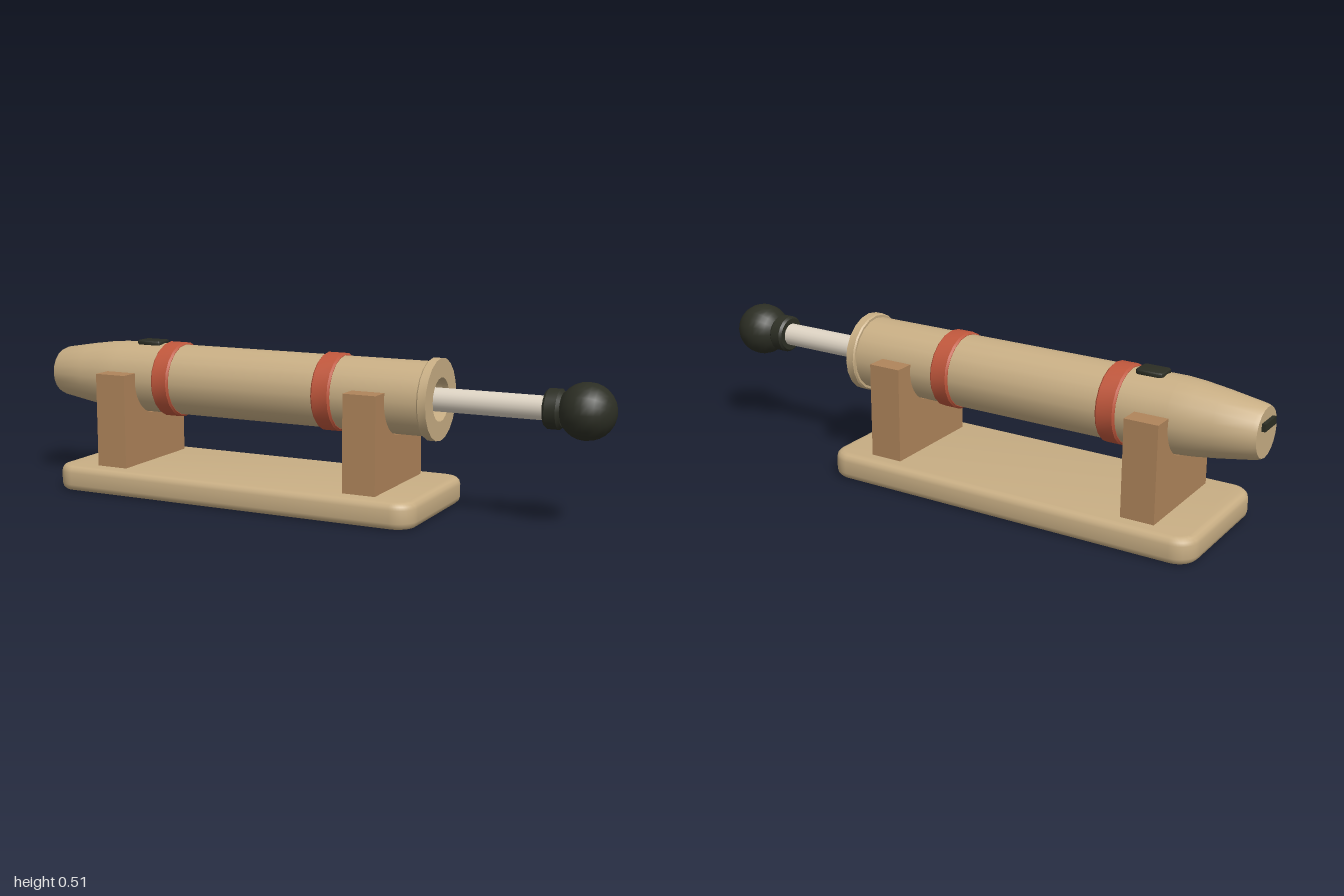
import * as THREE from 'three';
import { toCreasedNormals } from 'three/addons/utils/BufferGeometryUtils.js';

const AXIS_Y = 0.375;
const SIDES = 20;

const paint = (name, color) => {
  const m = new THREE.MeshStandardMaterial({ color });
  m.name = name;
  return m;
};

// Turned part: profile of [x, radius] pairs, spun around the tube axis
function turned(profile) {
  const g = new THREE.LatheGeometry(profile.map(([x, r]) => new THREE.Vector2(r, x)), SIDES);
  g.rotateZ(-Math.PI / 2);
  g.translate(0, AXIS_Y, 0);
  return toCreasedNormals(g, 0.5);
}

// Flat slab with rounded corners and soft edges, bottom at y = 0
function slab(width, depth, height, radius, bevel) {
  const w = width / 2 - bevel, d = depth / 2 - bevel, r = radius - bevel;
  const s = new THREE.Shape();
  s.absarc(w - r, d - r, r, 0, Math.PI / 2);
  s.absarc(-w + r, d - r, r, Math.PI / 2, Math.PI);
  s.absarc(-w + r, -d + r, r, Math.PI, Math.PI * 1.5);
  s.absarc(w - r, -d + r, r, Math.PI * 1.5, Math.PI * 2);
  s.closePath();
  const g = new THREE.ExtrudeGeometry(s, {
    depth: height - 2 * bevel, bevelEnabled: bevel > 0, bevelSize: bevel,
    bevelThickness: bevel, bevelSegments: 3, curveSegments: 6,
  });
  g.translate(0, 0, bevel);
  g.rotateX(-Math.PI / 2);
  return toCreasedNormals(g, 0.6);
}

// Upright with a round notch that cradles the tube
function cradle(width) {
  const r = 0.122, top = 0.403, half = 0.187;
  const a = Math.asin((top - AXIS_Y) / r);
  const s = new THREE.Shape();
  s.moveTo(-half, 0.08);
  s.lineTo(half, 0.08);
  s.lineTo(half, top);
  s.absarc(0, AXIS_Y, r, a, Math.PI - a, true);
  s.lineTo(-half, top);
  s.closePath();
  const g = new THREE.ExtrudeGeometry(s, { depth: width, bevelEnabled: false, curveSegments: 16 });
  g.translate(0, 0, -width / 2);
  g.rotateY(Math.PI / 2);
  return toCreasedNormals(g, 0.5);
}

export function createModel() {
  const group = new THREE.Group();
  group.name = 'slideWhistleOnStand';
  const tan = paint('pale wood', 0xc8ae84);
  const brown = paint('brown wood', 0xb0855b);
  const red = paint('red band', 0xc0573c);
  const ivory = paint('ivory rod', 0xddd3c3);
  const black = paint('dark knob', 0x2c2e24);

  const add = (name, geometry, material, x = 0, y = 0, z = 0) => {
    const m = new THREE.Mesh(geometry, material);
    m.name = name;
    m.position.set(x, y, z);
    group.add(m);
    return m;
  };

  // Stand
  add('base', slab(1.317, 0.488, 0.087, 0.07, 0.023), tan, -0.217);
  add('leftCradle', cradle(0.112), brown, 0.245);
  add('rightCradle', cradle(0.112), brown, -0.675);

  // Tapered tube with an open bore at the slide end
  add('tube', turned([
    [-0.988, 0], [-0.988, 0.079], [-0.975, 0.085], [-0.86, 0.104], [-0.78, 0.115],
    [-0.72, 0.12], [0.415, 0.12], [0.44, 0.12], [0.44, 0.07], [-0.4, 0.07], [-0.4, 0],
  ]), tan);
  add('endCollar', turned([
    [0.41, 0.115], [0.41, 0.128], [0.415, 0.132], [0.442, 0.132], [0.442, 0.07], [0.42, 0.07],
  ]), tan);

  // Bands around the tube
  for (const [name, x] of [['rightBand', -0.522], ['leftBand', 0.078]]) {
    add(name, turned([
      [-0.033, 0.115], [-0.033, 0.122], [-0.027, 0.128],
      [0.027, 0.128], [0.033, 0.122], [0.033, 0.115],
    ]), red, x);
  }

  // Sound window and mouth slot
  add('soundWindow', slab(0.092, 0.07, 0.018, 0.014, 0.004), black, -0.62, 0.486);
  add('mouthSlot', new THREE.BoxGeometry(0.018, 0.024, 0.084), black, -0.991, 0.403, 0);

  // Slide rod, knob collar and ball
  add('slideRod', turned([[-0.4, 0], [-0.4, 0.038], [0.8, 0.038], [0.8, 0]]), ivory);
  add('knobCollar', turned([
    [0.785, 0], [0.785, 0.056], [0.793, 0.063], [0.828, 0.063], [0.838, 0.054], [0.838, 0],
  ]), black);
  const ball = new THREE.SphereGeometry(0.089, SIDES, 14);
  ball.rotateZ(-Math.PI / 2);
  add('knobBall', ball, black, 0.911, AXIS_Y, 0);

  return group;
}
